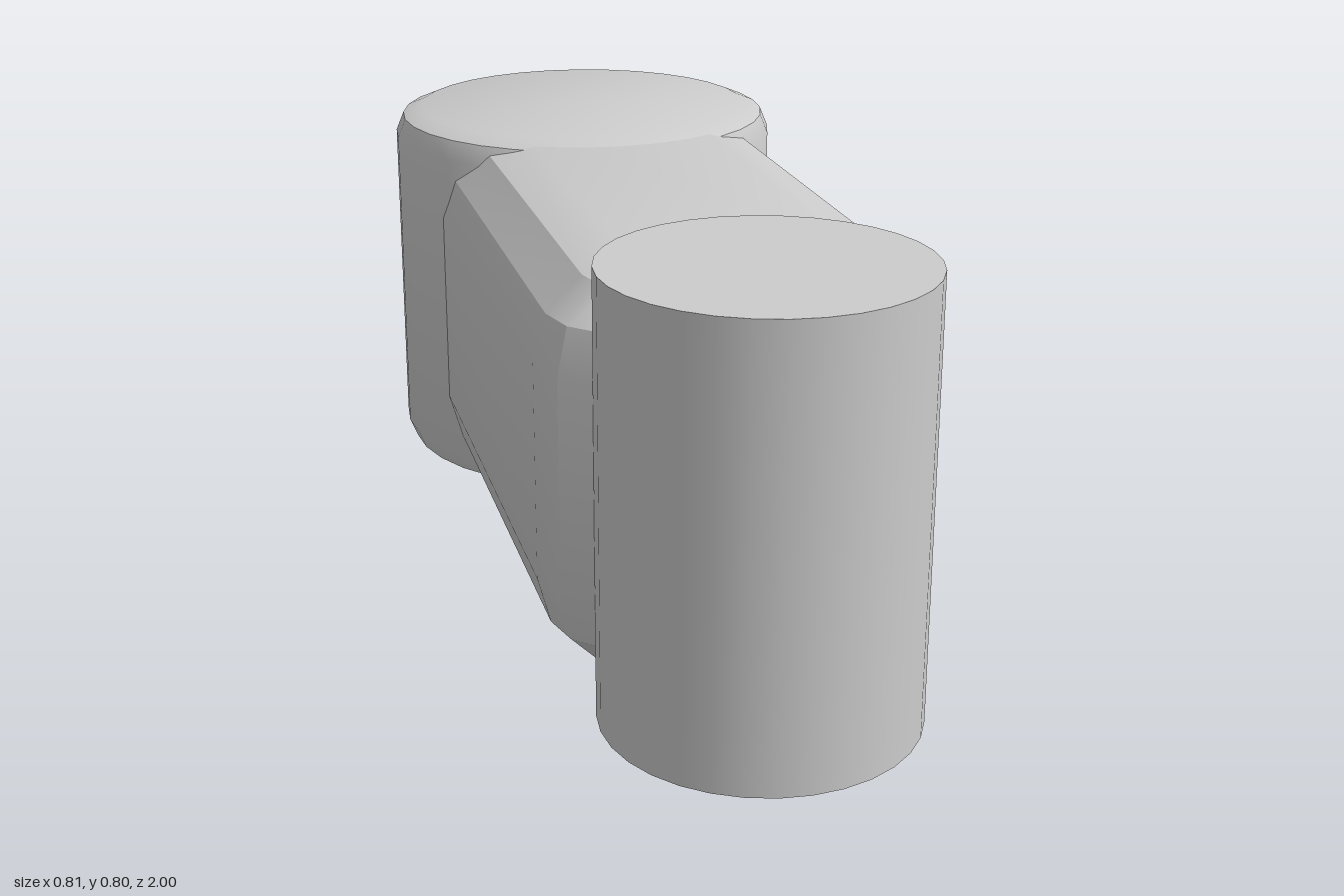
import * as THREE from 'three';
import { toCreasedNormals } from 'three/addons/utils/BufferGeometryUtils.js';
import { ConvexGeometry } from 'three/addons/geometries/ConvexGeometry.js';

const grey = new THREE.MeshStandardMaterial({ color: 0xcccccc });
grey.name = 'plainGrey';

// Edges sharper than this stay hard
const CREASE = THREE.MathUtils.degToRad(26);

function part(name, geometry, x, y, z) {
  const mesh = new THREE.Mesh(geometry, grey);
  mesh.name = name;
  mesh.position.set(x, y, z);
  return mesh;
}

// Box whose edges are rounded in three facets of 30 degrees
function bevelledBox(w, h, d, r) {
  const points = [];
  for (const sx of [-1, 1]) for (const sy of [-1, 1]) for (const sz of [-1, 1]) {
    for (let i = 0; i <= 3; i++) {
      const lat = (i * Math.PI) / 6;
      for (let j = 0; j <= (i === 3 ? 0 : 3); j++) {
        const lon = (j * Math.PI) / 6;
        points.push(new THREE.Vector3(
          sx * (w / 2 - r + r * Math.cos(lat) * Math.cos(lon)),
          sy * (h / 2 - r + r * Math.sin(lat)),
          sz * (d / 2 - r + r * Math.cos(lat) * Math.sin(lon))
        ));
      }
    }
  }
  return toCreasedNormals(new ConvexGeometry(points), CREASE);
}

// Cylinder whose rims are rounded in two facets of 45 degrees
function bevelledCylinder(radius, h, r) {
  const profile = [new THREE.Vector2(0, -h / 2)];
  for (const side of [-1, 1]) {
    for (let i = 0; i <= 2; i++) {
      const a = ((side < 0 ? i - 2 : i) * Math.PI) / 4;
      profile.push(new THREE.Vector2(
        radius - r + r * Math.cos(a),
        side * (h / 2 - r) + r * Math.sin(a)
      ));
    }
  }
  profile.push(new THREE.Vector2(0, h / 2));
  return toCreasedNormals(new THREE.LatheGeometry(profile, 32), CREASE);
}

export function createModel() {
  const model = new THREE.Group();
  model.name = 'linkArm';

  // Slim post at the front
  model.add(part('frontPost', new THREE.CylinderGeometry(0.28, 0.28, 0.8, 32), 0, 0.4, 0.72));

  // Arm joining both posts, its far end sunk in the rear hub
  model.add(part('arm', bevelledBox(0.71, 0.735, 1.45, 0.17), 0.01, 0.4, -0.025));

  // Wide hub at the back
  model.add(part('rearHub', bevelledCylinder(0.404, 0.756, 0.055), 0, 0.4, -0.596));

  return model;
}
